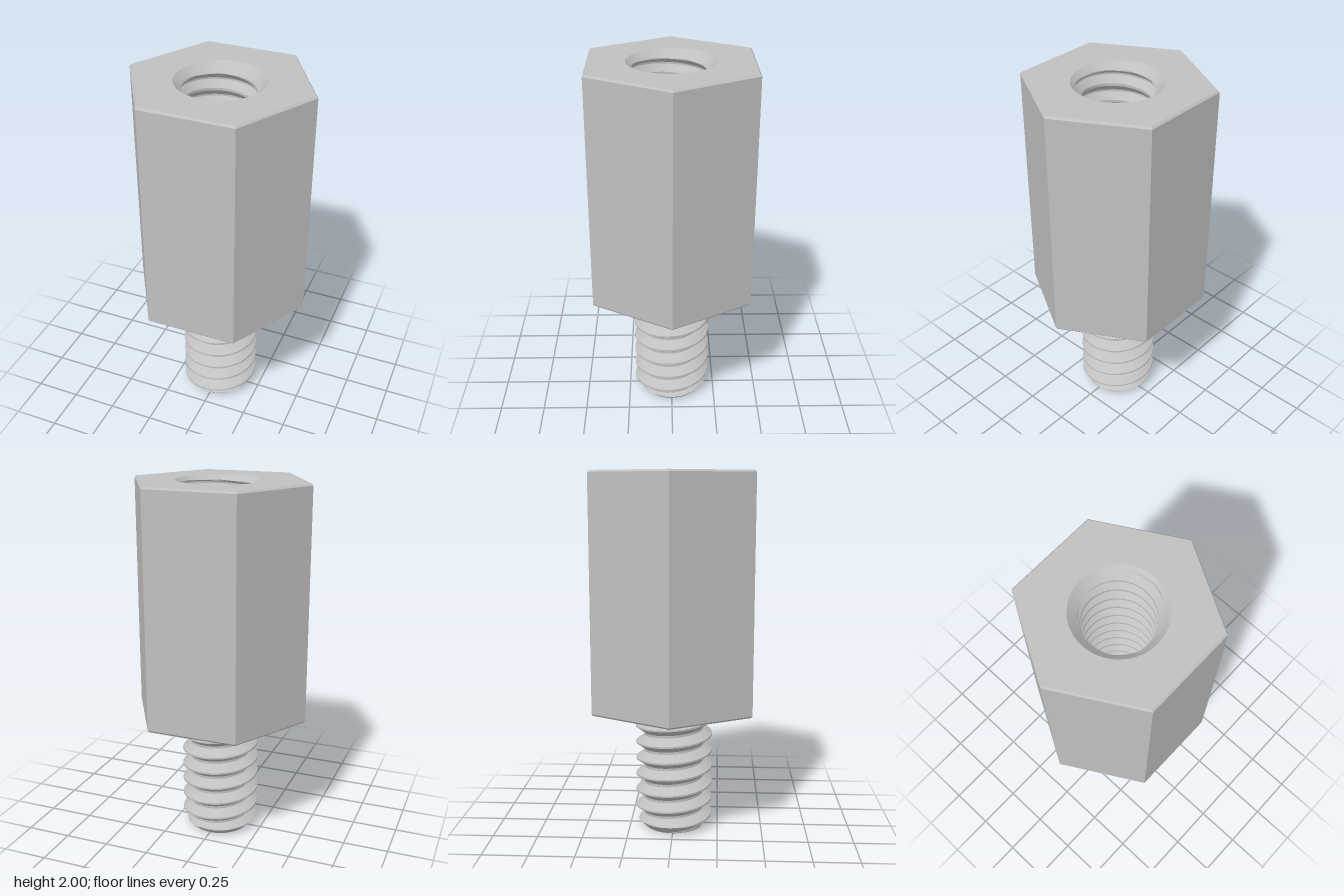
import * as THREE from 'three';
import { toCreasedNormals } from 'three/addons/utils/BufferGeometryUtils.js';

const PITCH = 0.094;
const SEGMENTS = 60;
const SHOULDER = 0.7, TOP = 2, HOLE_FLOOR = 1.0;
const TIP_RADIUS = 0.165, SINK_RADIUS = 0.235;

// Thread radius for a phase in turns: crest at 0, root at 0.5
function threadRadius(phase, root, crest) {
  const f = phase - Math.floor(phase);
  const t = THREE.MathUtils.clamp((Math.abs(2 * f - 1) - 0.15) / 0.75, 0, 1);
  return root + (crest - root) * t;
}

// Phases of the helical rows: breaks of the profile, each span cut in three
const breaks = [0.05, 0.24, 0.425, 0.575, 0.76, 0.95, 1.05];
const phases = [];
for (let i = 0; i < breaks.length - 1; i++) {
  for (let j = 0; j < 3; j++) phases.push(THREE.MathUtils.lerp(breaks[i], breaks[i + 1], j / 3));
}

// Right-hand helical surface from y0 to y1; limit(r, y) trims it to a cone
function threadGeometry(y0, y1, root, crest, limit, inward) {
  const rows = [];
  const first = Math.floor(y0 / PITCH) - 2, last = Math.ceil(y1 / PITCH) + 1;
  for (let turn = first; turn <= last; turn++) {
    for (const phase of phases) {
      const row = [];
      for (let i = 0; i <= SEGMENTS; i++) {
        const part = i / SEGMENTS, angle = part * Math.PI * 2;
        const y = THREE.MathUtils.clamp(PITCH * (turn + phase + part), y0, y1);
        const r = limit(threadRadius(y / PITCH - part, root, crest), y);
        row.push(new THREE.Vector3(r * Math.cos(angle), y, -r * Math.sin(angle)));
      }
      rows.push(row);
    }
  }
  const positions = [];
  const triangle = new THREE.Triangle();
  const add = (a, b, c) => {
    triangle.set(a, inward ? c : b, inward ? b : c);
    if (triangle.getArea() < 1e-9) return;
    for (const p of [triangle.a, triangle.b, triangle.c]) positions.push(p.x, p.y, p.z);
  };
  for (let k = 0; k < rows.length - 1; k++) {
    for (let i = 0; i < SEGMENTS; i++) {
      const a = rows[k][i], b = rows[k][i + 1], c = rows[k + 1][i + 1], d = rows[k + 1][i];
      add(a, b, c);
      add(a, c, d);
    }
  }
  const geometry = new THREE.BufferGeometry();
  geometry.setAttribute('position', new THREE.Float32BufferAttribute(positions, 3));
  return toCreasedNormals(geometry, 0.4);
}

export function createModel() {
  const model = new THREE.Group();
  model.name = 'hexStandoff';
  const steel = new THREE.MeshStandardMaterial({ color: 0xc0c0c0 });
  steel.name = 'steel';
  const addPart = (name, geometry) => {
    const mesh = new THREE.Mesh(geometry, steel);
    mesh.name = name;
    model.add(mesh);
  };

  // Hexagonal body with small chamfers, corners on the x axis
  const profile = [[0, SHOULDER], [0.49, SHOULDER], [0.5, SHOULDER + 0.01], [0.5, TOP - 0.01], [0.49, TOP]]
    .map(([r, y]) => new THREE.Vector2(r, y));
  const body = new THREE.LatheGeometry(profile, 6, Math.PI / 2).toNonIndexed();
  body.computeVertexNormals();
  addPart('hexBody', body);

  // Top face with the hole opening
  const hexagon = [], opening = [];
  for (let i = 0; i < 6; i++) {
    const a = i * Math.PI / 3;
    hexagon.push(new THREE.Vector2(0.49 * Math.cos(a), 0.49 * Math.sin(a)));
  }
  for (let i = 0; i < SEGMENTS; i++) {
    const a = i / SEGMENTS * Math.PI * 2;
    opening.push(new THREE.Vector2(SINK_RADIUS * Math.cos(a), SINK_RADIUS * Math.sin(a)));
  }
  const face = new THREE.Shape(hexagon);
  face.holes.push(new THREE.Path(opening));
  addPart('topFace', new THREE.ShapeGeometry(face).rotateX(-Math.PI / 2).translate(0, TOP, 0));

  // Countersunk, threaded blind hole
  addPart('innerThread', threadGeometry(HOLE_FLOOR, TOP, 0.181, 0.215,
    (r, y) => Math.max(r, SINK_RADIUS - (TOP - y)), true));
  addPart('holeFloor', new THREE.CircleGeometry(0.216, SEGMENTS).rotateX(-Math.PI / 2).translate(0, HOLE_FLOOR, 0));

  // Threaded stud with a chamfered tip
  addPart('studThread', threadGeometry(0, SHOULDER, 0.168, 0.216,
    (r, y) => Math.min(r, TIP_RADIUS + y), false));
  addPart('studTip', new THREE.CircleGeometry(TIP_RADIUS, SEGMENTS).rotateX(Math.PI / 2));

  return model;
}
